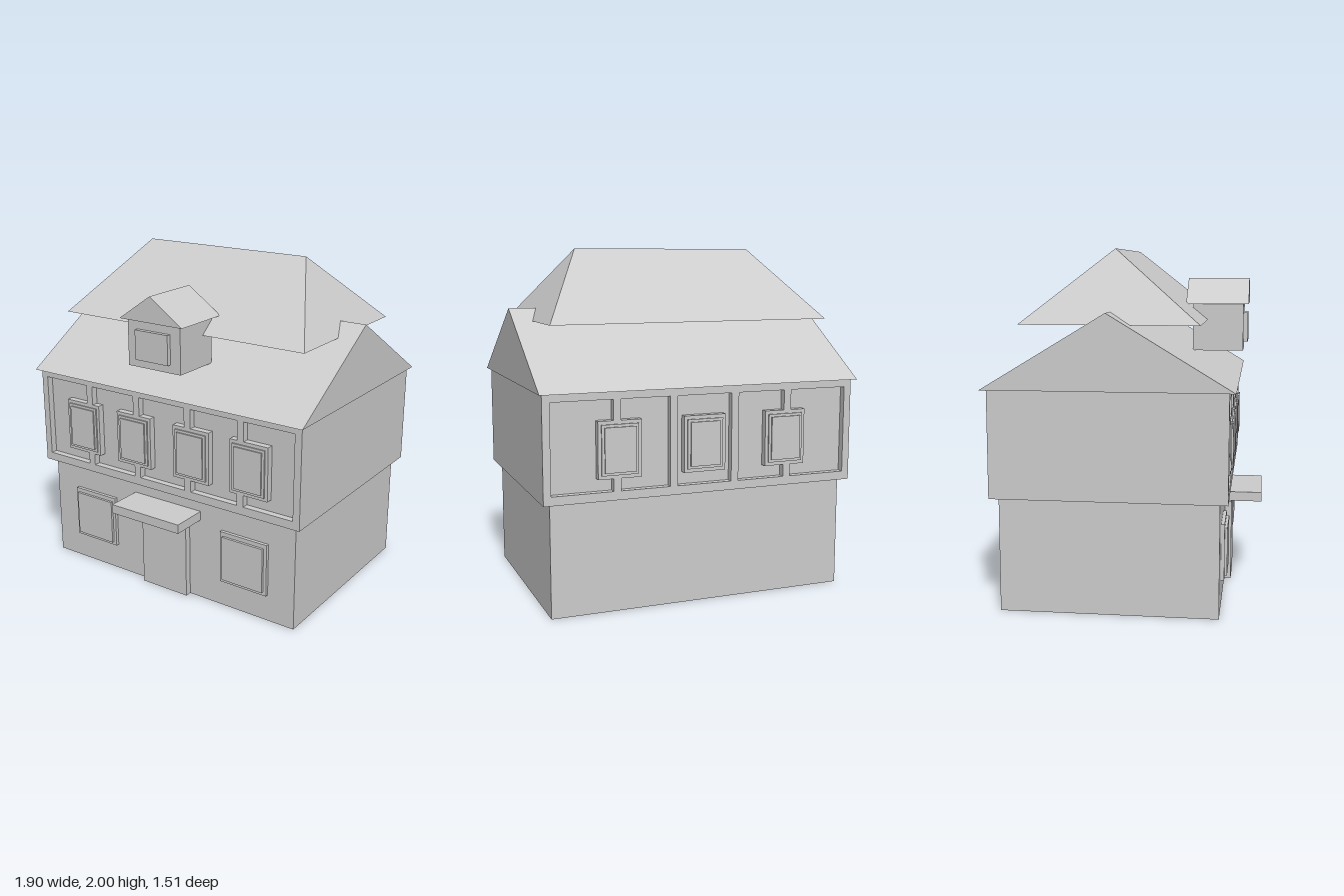
import * as THREE from 'three';

export function createModel() {
  const model = new THREE.Group();
  model.name = 'house';
  const plaster = new THREE.MeshStandardMaterial({ color: 0xcccccc });
  plaster.name = 'plain grey';
  const midZ = -0.0675;

  // box given by its extents on each axis
  function box(name, x0, x1, y0, y1, z0, z1, parent = model) {
    const mesh = new THREE.Mesh(new THREE.BoxGeometry(x1 - x0, y1 - y0, z1 - z0), plaster);
    mesh.position.set((x0 + x1) / 2, (y0 + y1) / 2, (z0 + z1) / 2);
    mesh.name = name;
    parent.add(mesh);
    return mesh;
  }

  // closed roof with its ridge along x; a ridge shorter than the eaves gives hipped ends
  function roof(name, halfX, halfZ, halfRidge, height) {
    const a = [-halfX, 0, halfZ], b = [halfX, 0, halfZ];
    const c = [halfX, 0, -halfZ], d = [-halfX, 0, -halfZ];
    const l = [-halfRidge, height, 0], r = [halfRidge, height, 0];
    const faces = [a, b, r, a, r, l, c, d, l, c, l, r, b, c, r, d, a, l, a, d, c, a, c, b];
    const geometry = new THREE.BufferGeometry();
    geometry.setAttribute('position', new THREE.Float32BufferAttribute(faces.flat(), 3));
    geometry.computeVertexNormals();
    const mesh = new THREE.Mesh(geometry, plaster);
    mesh.name = name;
    model.add(mesh);
    return mesh;
  }

  // storeys
  box('lowerStorey', -0.885, 0.885, 0, 0.645, -0.675, 0.54);
  box('upperStorey', -0.93, 0.93, 0.645, 1.245, -0.68, 0.545);

  // entrance
  box('door', -0.163, 0.163, 0, 0.485, 0.54, 0.58);
  box('canopy', -0.243, 0.243, 0.51, 0.565, 0.54, 0.76);

  // ground floor windows
  for (const x of [-0.553, 0.553]) {
    box('lowerWindowFrame', x - 0.158, x + 0.158, 0.165, 0.487, 0.54, 0.56);
    box('lowerWindowPane', x - 0.138, x + 0.138, 0.187, 0.462, 0.56, 0.575);
  }

  // raised timber frame with windows, built facing +z about its own centre
  const zIn = 0.6125, zOut = 0.6525;
  function timberWall(name, windows, fullPosts) {
    const wall = new THREE.Group();
    wall.name = name;
    wall.position.z = midZ;
    const beam = (x0, x1, y0, y1) => box('beam', x0, x1, y0, y1, zIn, zOut, wall);
    beam(-0.93, 0.93, 0.645, 0.695);
    beam(-0.93, 0.93, 1.2, 1.245);
    beam(-0.93, -0.887, 0.695, 1.2);
    beam(0.887, 0.93, 0.695, 1.2);
    for (const x of fullPosts) beam(x - 0.022, x + 0.022, 0.695, 1.2);
    for (const [x, post] of windows) {
      box('windowSurround', x - 0.125, x + 0.125, 0.765, 1.085, zIn, zOut, wall);
      box('windowFrame', x - 0.106, x + 0.106, 0.785, 1.065, zOut, zOut + 0.008, wall);
      box('windowPane', x - 0.09, x + 0.09, 0.8, 1.05, zOut + 0.008, zOut + 0.016, wall);
      if (post === null) continue;
      beam(post - 0.022, post + 0.022, 1.085, 1.2);
      beam(post - 0.022, post + 0.022, 0.695, 0.765);
    }
    model.add(wall);
    return wall;
  }
  timberWall('frontTimberWall',
    [[-0.6, -0.545], [-0.208, -0.185], [0.208, 0.185], [0.6, 0.545]], []);
  timberWall('backTimberWall',
    [[-0.5, -0.515], [0, null], [0.5, 0.515]], [-0.185, 0.185]).rotation.y = Math.PI;

  // gabled main roof with a hipped roof above it
  roof('mainRoof', 0.95, 0.6875, 0.95, 0.415).position.set(0, 1.245, midZ);
  roof('upperRoof', 0.838, 0.495, 0.553, 0.41).position.set(0, 1.59, -0.07);

  // dormer
  box('dormerBody', -0.183, 0.183, 1.408, 1.684, 0.338, 0.635);
  box('dormerWindow', -0.114, 0.114, 1.457, 1.63, 0.635, 0.661);
  const dormerRoof = roof('dormerRoof', 0.184, 0.217, 0.184, 0.15);
  dormerRoof.rotation.y = Math.PI / 2;
  dormerRoof.position.set(0, 1.684, 0.482);

  return model;
}
